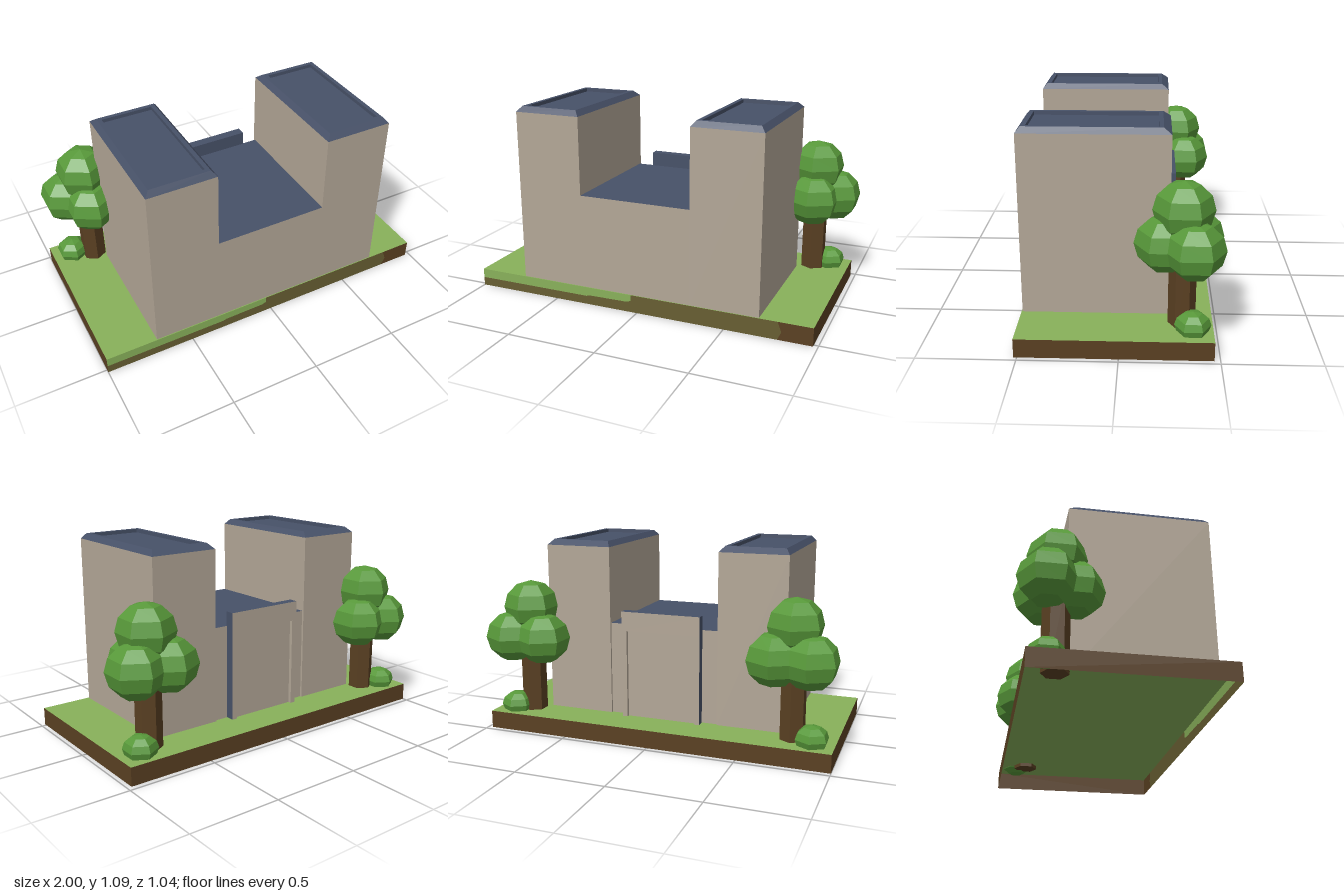
import * as THREE from 'three';

function makeMaterial(name, color, flat = false) {
  const m = new THREE.MeshStandardMaterial({ color });
  m.name = name;
  m.flatShading = flat;
  m.side = THREE.DoubleSide;
  return m;
}

export function createModel() {
  const wall = makeMaterial('stone wall', 0xb3a797);
  const slate = makeMaterial('slate roof', 0x475168, true);
  const grass = makeMaterial('grass', 0x88b15a);
  const soil = makeMaterial('soil and bark', 0x5a4022, true);
  const moss = makeMaterial('mossy soil', 0x675e32);
  const leaf = makeMaterial('leaves', 0x58993a, true);

  const model = new THREE.Group();
  model.name = 'twinTowerBuilding';

  const add = (name, geometry, material, parent = model) => {
    const mesh = new THREE.Mesh(geometry, material);
    mesh.name = name;
    parent.add(mesh);
    return mesh;
  };
  const box = (name, [x0, x1], [y0, y1], [z0, z1], material, parent) => {
    const mesh = add(name, new THREE.BoxGeometry(x1 - x0, y1 - y0, z1 - z0), material, parent);
    mesh.position.set((x0 + x1) / 2, (y0 + y1) / 2, (z0 + z1) / 2);
    return mesh;
  };
  const flatShape = (points) =>
    new THREE.ShapeGeometry(new THREE.Shape(points.map(([x, y]) => new THREE.Vector2(x, y))));

  // Ground: grass sheet with an open-bottomed skirt
  const X0 = -1, X1 = 0.975, Z0 = -0.47, Z1 = 0.517, H = 0.1;
  const ground = new THREE.Group();
  ground.name = 'ground';
  model.add(ground);
  const sheet = (name, w, h, material, pos, rx, ry) => {
    const mesh = add(name, new THREE.PlaneGeometry(w, h), material, ground);
    mesh.position.set(...pos);
    mesh.rotation.set(rx, ry, 0);
  };
  const cx = (X0 + X1) / 2, cz = (Z0 + Z1) / 2;
  sheet('lawn', X1 - X0, Z1 - Z0, grass, [cx, H, cz], -Math.PI / 2, 0);
  sheet('backSkirt', X1 - X0, H, soil, [cx, H / 2, Z0], 0, Math.PI);
  sheet('leftSkirt', Z1 - Z0, H, soil, [X1, H / 2, cz], 0, Math.PI / 2);
  sheet('rightSkirt', Z1 - Z0, H, soil, [X0, H / 2, cz], 0, -Math.PI / 2);

  // Front skirt in three colour patches
  const frontPatches = [
    ['frontGrassEdge', grass, [[X0, 0.048], [-0.31, 0.048], [-0.29, 0.054], [-0.06, 0.057], [-0.035, 0.066], [-0.035, H], [X0, H]]],
    ['frontMoss', moss, [[X0, 0], [0.79, 0], [0.81, 0.045], [0.79, H], [-0.035, H], [-0.035, 0.066], [-0.06, 0.057], [-0.29, 0.054], [-0.31, 0.048], [X0, 0.048]]],
    ['frontSoil', soil, [[0.79, 0], [X1, 0], [X1, H], [0.79, H], [0.81, 0.045]]],
  ];
  for (const [name, material, points] of frontPatches) {
    add(name, flatShape(points), material, ground).position.z = Z1;
  }

  // Bevelled roof cap with a sunken floor, built from rectangular loops
  const capGeometry = ([x0, x1], [z0, z1]) => {
    const loops = [[0, 1.06], [0.025, 1.09], [0.048, 1.09], [0.048, 1.07]].map(([d, y]) => {
      const zb = z0 + d + (d > 0 ? 0.015 : 0);
      return [[x0 + d, y, z1 - d], [x1 - d, y, z1 - d], [x1 - d, y, zb], [x0 + d, y, zb]];
    });
    const pos = [];
    const quad = (a, b, c, d) => pos.push(...a, ...b, ...c, ...a, ...c, ...d);
    for (let i = 0; i < 3; i++) {
      for (let j = 0; j < 4; j++) {
        const k = (j + 1) % 4;
        quad(loops[i][j], loops[i][k], loops[i + 1][k], loops[i + 1][j]);
      }
    }
    quad(...loops[3]);
    const g = new THREE.BufferGeometry();
    g.setAttribute('position', new THREE.Float32BufferAttribute(pos, 3));
    g.computeVertexNormals();
    return g;
  };

  // Towers and the lower hall between them
  const depth = [-0.25, 0.512];
  for (const [side, xs] of [['right', [-0.71, -0.33]], ['left', [0.305, 0.69]]]) {
    box(side + 'Tower', xs, [H, 1.06], depth, wall);
    add(side + 'TowerCap', capGeometry(xs, depth), slate);
  }
  box('hall', [-0.33, 0.305], [H, 0.63], [-0.238, 0.512], [wall, wall, slate, wall, wall, wall]);

  // Back doorway: slate slab with a stone face, frame and recessed door
  const door = new THREE.Group();
  door.name = 'doorway';
  model.add(door);
  const faced = [slate, slate, slate, wall, slate, wall];
  box('doorPanel', [-0.24, 0.22], [H, 0.71], [-0.268, -0.235], faced, door);
  const frameZ = [-0.287, -0.268];
  box('rightPost', [-0.24, -0.21], [H, 0.6], frameZ, [wall, slate, wall, wall, wall, wall], door);
  box('leftPost', [0.19, 0.22], [H, 0.6], frameZ, [slate, wall, wall, wall, wall, wall], door);
  box('lintel', [-0.24, 0.22], [0.6, 0.71], frameZ, faced, door);

  // Trees and bushes: six-sided faceted blobs
  const blob = (name, r, height, x, y, z, parent) => {
    const mesh = add(name, new THREE.SphereGeometry(r, 6, 6, Math.PI / 2), leaf, parent);
    mesh.scale.y = height / r;
    mesh.position.set(x, y, z);
  };
  for (const [side, x, bushX] of [['left', 0.773, 0.857], ['right', -0.767, -0.88]]) {
    const tree = new THREE.Group();
    tree.name = side + 'Tree';
    tree.position.set(x, 0, -0.312);
    model.add(tree);
    add('trunk', new THREE.CylinderGeometry(0.07, 0.07, 0.43, 6), soil, tree).position.y = 0.295;
    blob('crownTop', 0.155, 0.15, 0, 0.71, 0, tree);
    blob('crownFront', 0.155, 0.147, 0, 0.535, 0.09, tree);
    blob('crownLeft', 0.155, 0.147, 0.095, 0.537, -0.053, tree);
    blob('crownRight', 0.155, 0.147, -0.095, 0.537, -0.053, tree);
    blob(side + 'Bush', 0.093, 0.073, bushX, 0.133, -0.365, model);
  }

  return model;
}
